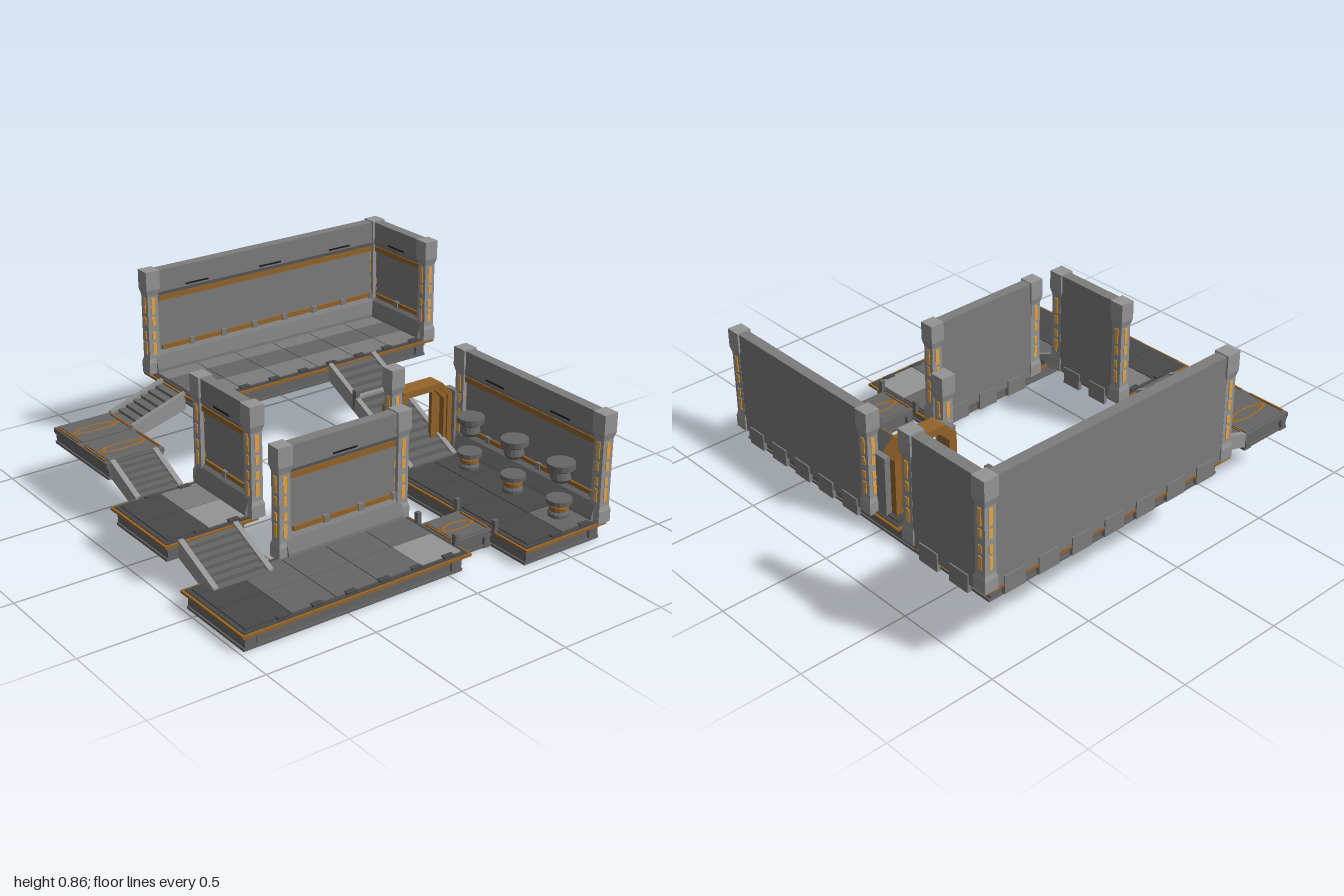
import * as THREE from 'three';

const paint = color => new THREE.MeshStandardMaterial({ color, flatShading: true });
const grey = paint(0x7c7c7c), light = paint(0x949494), mid = paint(0x666666), deep = paint(0x484848);
const under = paint(0xcccccc), dark = paint(0x1c1c1c);
const gold = paint(0x94642a), goldLight = paint(0xe5a545);

function add(parent, name, geo, mat = grey) {
  const m = new THREE.Mesh(geo, mat);
  m.name = name;
  parent.add(m);
  return m;
}

// Box given by its extents on each axis
function box(parent, name, x0, x1, y0, y1, z0, z1, mat) {
  const g = new THREE.BoxGeometry(x1 - x0, y1 - y0, z1 - z0);
  g.translate((x0 + x1) / 2, (y0 + y1) / 2, (z0 + z1) / 2);
  return add(parent, name, g, mat);
}

function group(parent, name, x = 0, y = 0, z = 0, ry = 0) {
  const g = new THREE.Group();
  g.name = name;
  g.position.set(x, y, z);
  g.rotation.y = ry;
  parent.add(g);
  return g;
}

function outline(points) {
  return new THREE.Shape(points.map(p => new THREE.Vector2(...p)));
}

// Girder with flanges, lying along x or z
function beam(parent, x0, x1, z0, z1, y0, y1) {
  const alongX = x1 - x0 > z1 - z0, i = 0.006;
  box(parent, 'beamWeb', x0 + (alongX ? 0 : i), x1 - (alongX ? 0 : i), y0, y1,
    z0 + (alongX ? i : 0), z1 - (alongX ? i : 0), mid);
  box(parent, 'beamFlange', x0, x1, y0, y0 + 0.012, z0, z1, mid);
  box(parent, 'beamFlange', x0, x1, y1 - 0.015, y1, z0, z1, mid);
}

// Deck: gold rim, slab, raised floor panels and a girder frame below
function deck(parent, name, x0, x1, z0, z1, y, nx, nz, frame, tone) {
  const g = group(parent, name);
  const [a0, a1, b0, b1] = frame;
  box(g, 'goldRim', x0, x1, y - 0.014, y - 0.003, z0, z1, gold);
  box(g, 'floorSlab', x0 + 0.012, x1 - 0.012, y - 0.02, y + 0.001, z0 + 0.012, z1 - 0.012, deep);
  box(g, 'undersidePlate', x0 + 0.02, x1 - 0.02, y - 0.024, y - 0.018, z0 + 0.02, z1 - 0.02, under);
  const m = 0.03, w = (x1 - x0 - 2 * m) / nx, d = (z1 - z0 - 2 * m) / nz;
  for (let i = 0; i < nx; i++) for (let k = 0; k < nz; k++) {
    const px = x0 + m + i * w, pz = z0 + m + k * d;
    box(g, 'floorPanel', px + 0.002, px + w - 0.002, y, y + 0.006, pz + 0.002, pz + d - 0.002, tone(i, k));
  }
  // edge cleats
  for (let z = z0 + 0.1; z < z1 - 0.05; z += 0.16) for (const x of [x0 + 0.03, x1 - 0.03])
    box(g, 'edgeCleat', x - 0.012, x + 0.012, y, y + 0.01, z - 0.025, z + 0.025, deep);
  const low = y - 0.08, top = y - 0.014, t = 0.06;
  beam(g, a0, a1, b0, b0 + t, low, top);
  beam(g, a0, a1, b1 - t, b1, low, top);
  const e0 = Math.max(a0, x0 + 0.02);
  beam(g, e0, e0 + t, b0 + t, b1 - t, low, top);
  beam(g, a1 - t, a1, b0 + t, b1 - t, low, top);
  return g;
}

// Corner pillar with wider head and foot, and lit gold dashes on the faces
function pillar(parent, x, y, z) {
  const g = group(parent, 'pillar', x, y, z);
  const parts = [[0.046, 0.046, -0.005, 0.05], [0.046, 0.038, 0.05, 0.07], [0.038, 0.038, 0.07, 0.37],
    [0.038, 0.049, 0.37, 0.4], [0.049, 0.049, 0.4, 0.487]];
  for (const [r0, r1, y0, y1] of parts) {
    const c = new THREE.CylinderGeometry(r1, r0, y1 - y0, 4);
    c.rotateY(Math.PI / 4);
    c.translate(0, (y0 + y1) / 2, 0);
    add(g, 'pillarShaft', c, light);
  }
  for (let i = 0; i < 4; i++) {
    const f = group(g, 'pillarLights', 0, 0, 0, i * Math.PI / 2);
    for (const [y0, y1] of [[0.09, 0.15], [0.165, 0.2], [0.23, 0.27], [0.285, 0.36]])
      box(f, 'pillarLight', -0.009, 0.009, y0, y1, 0.024, 0.03, goldLight);
  }
}

// Wall along local x, its inner side towards local +z
function wall(parent, name, len, x, y, z, ry) {
  const g = group(parent, name, x, y, z, ry);
  const geo = new THREE.ExtrudeGeometry(outline([[-0.026, -0.005], [0.045, -0.005], [0.045, 0.02],
    [0.024, 0.08], [0.008, 0.1], [0.008, 0.35], [0.024, 0.38], [0.024, 0.482], [-0.026, 0.482]]),
  { depth: len, bevelEnabled: false });
  geo.rotateY(-Math.PI / 2);
  geo.translate(len / 2, 0, 0);
  add(g, 'wallPanel', geo);
  const h = len / 2 - 0.03, n = Math.max(2, Math.round(len / 0.19)), s = 2 * h / n;
  box(g, 'upperTrim', -h, h, 0.335, 0.36, 0.005, 0.018, gold);
  for (let i = 0; i < n; i++) {
    const c = -h + (i + 0.5) * s;
    box(g, 'lowerTrim', c - s * 0.42, c + s * 0.42, 0.1, 0.12, 0.005, 0.018, gold);
    box(g, 'lowerClip', c + s * 0.42, c + s * 0.58, 0.095, 0.125, 0.005, 0.022);
    box(g, 'outerFootTab', c - s * 0.3, c + s * 0.3, -0.05, 0.03, -0.032, -0.014);
  }
  const slots = Math.max(1, Math.round(len / 0.42));
  for (let i = 0; i < slots; i++) {
    const c = -h + (i + 0.5) * 2 * h / slots;
    box(g, 'wallSlot', c - 0.06, c + 0.06, 0.388, 0.396, 0.02, 0.026, dark);
  }
}

// Stairs descending along local +x
function stairs(parent, name, x, z, ry, run, y0, y1, width, steps) {
  const g = group(parent, name, x, 0, z, ry);
  for (const side of [-1, 1]) {
    const geo = new THREE.ExtrudeGeometry(outline([[0, y0 + 0.01], [0, y0 - 0.07], [run, y1 - 0.07 + 0.015],
      [run, y1 + 0.01]]), { depth: 0.024, bevelEnabled: false });
    geo.translate(0, 0, side * (width / 2 - 0.012) - 0.012);
    add(g, 'stringer', geo, light);
  }
  const w = width / 2 - 0.02;
  for (let i = 0; i < steps; i++) {
    const t = y0 + (y1 - y0) * (i + 0.5) / steps;
    box(g, 'step', i * run / steps, (i + 1.1) * run / steps, t - 0.022, t - 0.003, -w, w, mid);
  }
  return g;
}

// Landing plate with an oval gold inlay on each panel
function landing(parent, name, x0, x1, z0, z1, y, n) {
  const g = group(parent, name);
  const low = y - 0.075, top = y - 0.014;
  box(g, 'plate', x0, x1, y - 0.02, y, z0, z1, mid);
  for (const z of [z0 + 0.005, z1 - 0.045]) beam(g, x0, x1, z, z + 0.04, low, top);
  for (const x of [x0 + 0.005, x1 - 0.045]) beam(g, x, x + 0.04, z0 + 0.045, z1 - 0.045, low, top);
  const w = (x1 - x0) / n, zc = (z0 + z1) / 2, d = z1 - z0;
  for (let i = 0; i < n; i++) {
    const c = x0 + (i + 0.5) * w;
    box(g, 'panel', c - w * 0.44, c + w * 0.44, y, y + 0.005, z0 + 0.02, z1 - 0.02, mid);
    for (const s of [-1, 1])
      box(g, 'goldEdge', c - w * 0.4, c + w * 0.4, y, y + 0.007, zc + s * (d / 2 - 0.01) - 0.004, zc + s * (d / 2 - 0.01) + 0.004, gold);
    const ring = add(g, 'ovalInlay', new THREE.TorusGeometry(1, 0.18, 4, 16).rotateX(Math.PI / 2), gold);
    ring.scale.set(0.028, 0.02, d * 0.36);
    ring.position.set(c, y + 0.005, zc);
  }
}

export function createModel() {
  const root = new THREE.Group();
  root.name = 'linkedPlatforms';
  const Q = Math.PI / 2;

  // Tall long platform
  const a = deck(root, 'longPlatform', -0.96, -0.495, -0.99, 0.33, 0.37, 3, 6, [-0.93, -0.51, -0.95, 0.28],
    i => i === 1 ? mid : grey);
  wall(a, 'sideWall', 1.26, -0.93, 0.37, -0.335, Q);
  wall(a, 'backWall', 0.4, -0.73, 0.37, -0.965, 0);
  for (const [x, z] of [[-0.93, -0.965], [-0.53, -0.965], [-0.93, 0.3]]) pillar(a, x, 0.37, z);

  // Back room
  const b = deck(root, 'backRoom', -0.13, 0.96, -0.73, -0.29, 0.08, 5, 2, [-0.24, 0.94, -0.71, -0.3],
    (i, k) => i === 4 && k === 0 ? mid : deep);
  wall(b, 'backWall', 0.88, 0.49, 0.08, -0.715, 0);
  for (const [x, z] of [[0.055, -0.715], [0.93, -0.715], [0.055, -0.315]]) pillar(b, x, 0.08, z);

  // Doorway with chamfered head and a half-open leaf
  const arch = (h, t, c) => [[-h, 0], [h, 0], [h, t - c], [h - c, t], [c - h, t], [-h, t - c]];
  const frame = (name, x, depth, inner, mat) => {
    const door = outline(arch(0.165, 0.33, 0.06));
    door.holes.push(new THREE.Path(arch(inner, 0.165 + inner, 0.05).map(p => new THREE.Vector2(p[0], p[1] + 0.006))));
    add(b, name, new THREE.ExtrudeGeometry(door, { depth, bevelEnabled: false })
      .rotateY(Q).translate(x, 0.08, -0.51), mat);
  };
  frame('doorFrame', -0.06, 0.075, 0.125, gold);
  frame('doorFacing', 0.015, 0.008, 0.14, gold);
  box(b, 'doorLeaf', -0.035, -0.015, 0.08, 0.36, -0.645, -0.59, gold);
  for (const z of [-0.69, -0.34])
    box(b, 'doorJamb', -0.03, 0.04, 0.08, 0.36, z - 0.014, z + 0.014);

  // Round pedestals with raised discs above them
  for (const x of [0.24, 0.525, 0.81]) {
    const p = group(b, 'pedestal', x, 0.08, -0.6);
    const lathe = (name, pts, mat) => add(p, name,
      new THREE.LatheGeometry(pts.map(q => new THREE.Vector2(...q)), 14), mat);
    lathe('pedestalBase', [[0, 0], [0.045, 0], [0.045, 0.02], [0.036, 0.03], [0.036, 0.06], [0.055, 0.065], [0.055, 0.085], [0, 0.085]], mid);
    lathe('pedestalBand', [[0.037, 0.033], [0.042, 0.036], [0.042, 0.052], [0.037, 0.055]], gold);
    lathe('raisedDisc', [[0, 0.165], [0.035, 0.165], [0.045, 0.18], [0.036, 0.21], [0.061, 0.225], [0.061, 0.25], [0, 0.25]], mid);
  }

  // Front platform
  const c = deck(root, 'frontPlatform', 0.41, 0.845, -0.1, 0.995, 0.08, 2, 5, [0.43, 0.825, -0.07, 0.98],
    (i, k) => k === 4 ? deep : i === 1 && k === 0 ? light : mid);
  wall(c, 'sideWall', 0.58, 0.415, 0.08, 0.23, Q);
  for (const z of [-0.065, 0.525]) pillar(c, 0.415, 0.08, z);

  // Small middle platform
  const e = deck(root, 'middlePlatform', -0.17, 0.26, 0.53, 0.965, 0.19, 2, 2, [-0.15, 0.24, 0.58, 0.95],
    (i, k) => k === 1 ? deep : i === 1 ? light : grey);
  wall(e, 'backWall', 0.38, 0.042, 0.19, 0.53, 0);
  for (const x of [-0.145, 0.23]) pillar(e, x, 0.19, 0.53);

  // Landing and bridge
  landing(root, 'cornerLanding', -0.82, -0.36, 0.59, 0.87, 0.28, 2);
  landing(root, 'bridge', 0.53, 0.74, -0.3, -0.09, 0.08, 1);
  for (const x of [0.515, 0.755]) for (const z of [-0.3, -0.09])
    box(root, 'bridgePost', x - 0.01, x + 0.01, 0.07, 0.13, z - 0.01, z + 0.01, mid);

  // Flights of stairs
  const long = stairs(root, 'longStairs', -0.5, -0.51, 0, 0.6, 0.375, 0.085, 0.27, 14);
  box(long, 'stairCrossbar', 0.185, 0.21, 0.27, 0.29, -0.12, 0.12, light);
  for (const s of [-1, 1]) box(long, 'stairPost', 0.185, 0.21, 0.22, 0.32, s * 0.123 - 0.012, s * 0.123 + 0.012, mid);
  stairs(root, 'upperStairs', -0.715, 0.325, -Q, 0.27, 0.37, 0.28, 0.21, 7);
  stairs(root, 'middleStairs', -0.365, 0.735, 0, 0.2, 0.28, 0.19, 0.23, 6);
  stairs(root, 'lowerStairs', 0.255, 0.765, 0, 0.25, 0.19, 0.085, 0.28, 7);
  return root;
}
